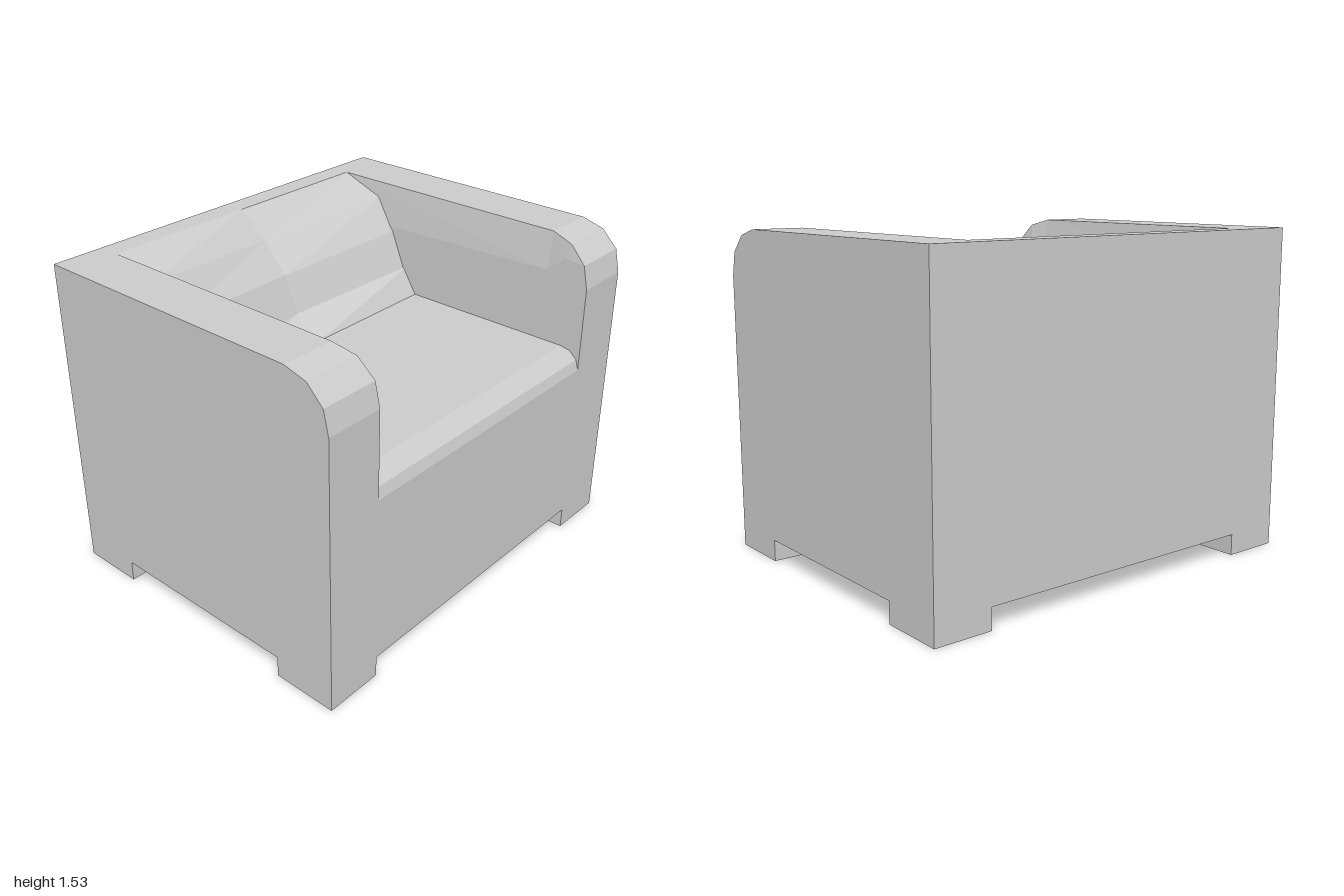
import * as THREE from 'three';

// Flat-shaded solid through matching cross-section rings of [x, y, z],
// ordered from low x to high x, with fan caps at both ends.
function loft(rings) {
  const pos = [];
  const tri = (a, b, c) => pos.push(...a, ...b, ...c);
  const n = rings[0].length;
  for (let i = 0; i < rings.length - 1; i++) {
    for (let j = 0; j < n; j++) {
      const k = (j + 1) % n;
      const [a, b, c, d] = [rings[i][j], rings[i + 1][j], rings[i + 1][k], rings[i][k]];
      tri(a, b, c);
      tri(a, c, d);
    }
  }
  const first = rings[0], last = rings[rings.length - 1];
  for (let j = 1; j < n - 1; j++) {
    tri(first[0], first[j], first[j + 1]);
    tri(last[0], last[j + 1], last[j]);
  }
  const geo = new THREE.BufferGeometry();
  geo.setAttribute('position', new THREE.Float32BufferAttribute(pos, 3));
  geo.computeVertexNormals();
  return geo;
}

// Ring at constant x from [z, y] pairs
const ring = (x, profile) => profile.map(([z, y]) => [x, y, z]);

export function createModel() {
  const group = new THREE.Group();
  const fabric = new THREE.MeshStandardMaterial({ color: 0xcccccc });
  fabric.name = 'grey upholstery';
  const add = (name, geo) => {
    const mesh = new THREE.Mesh(geo, fabric);
    mesh.name = name;
    group.add(mesh);
    return mesh;
  };

  // Seat block with a rounded front edge
  const seat = [[-0.25, 0.1], [0.795, 0.1], [0.795, 0.9], [0.78, 0.95],
    [0.74, 0.985], [0.69, 0.995], [-0.25, 0.995]];
  add('seat', loft([ring(-0.72, seat), ring(0.72, seat)]));

  // Backrest, hollowed towards the middle
  const backSide = [[-0.795, 0.1], [-0.19, 0.1], [-0.19, 0.995], [-0.27, 1.12],
    [-0.345, 1.3], [-0.46, 1.455], [-0.69, 1.53], [-0.795, 1.53]];
  const backMiddle = [[-0.795, 0.1], [-0.19, 0.1], [-0.19, 0.995], [-0.335, 1.09],
    [-0.41, 1.27], [-0.54, 1.41], [-0.69, 1.53], [-0.795, 1.53]];
  add('backrest', loft([ring(-0.75, backSide), ring(0, backMiddle), ring(0.75, backSide)]));

  // Arms: rounded front, inner top edge leaning outwards
  const outer = [[-0.795, 0.1], [0.795, 0.1], [0.795, 1.31], [0.77, 1.42],
    [0.69, 1.5], [0.58, 1.53], [-0.795, 1.53]];
  const inner = [[-0.795, 0.1], [0.795, 0.1], [0.795, 1.31], [0.77, 1.42],
    [0.67, 1.43], [0.58, 1.35], [-0.795, 1.31]];
  const rimX = [0.72, 0.72, 0.72, 0.72, 0.73, 0.75, 0.75];
  for (const s of [1, -1]) {
    const rim = outer.map(([z, y], i) => [s * rimX[i], y, z]);
    const rings = [ring(s * 0.72, inner), rim, ring(s, outer)];
    add(s > 0 ? 'leftArm' : 'rightArm', loft(s > 0 ? rings : rings.reverse()));
  }

  // Feet
  for (const x of [1, -1]) {
    for (const z of [1, -1]) {
      const name = (z > 0 ? 'front' : 'back') + (x > 0 ? 'Left' : 'Right') + 'Foot';
      add(name, new THREE.BoxGeometry(0.28, 0.1, 0.31)).position.set(x * 0.86, 0.05, z * 0.64);
    }
  }
  return group;
}
